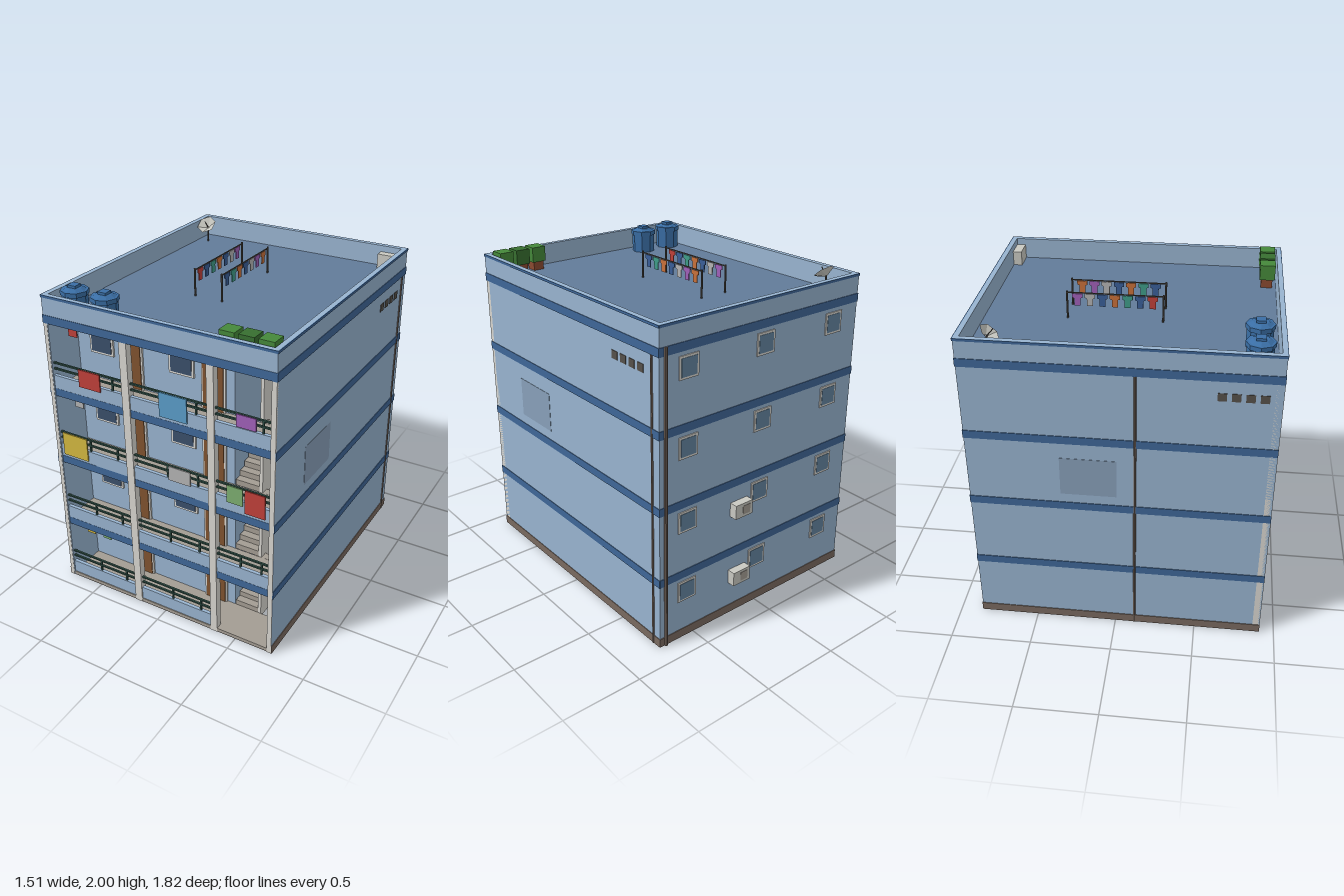
import * as THREE from 'three';

const C = {
  wall: 0x98b4d0, band: 0x3f6798, roof: 0x627b99, white: 0xd8d6d0, base: 0x7a6a60, grey: 0xa39c93,
  dark: 0x55504a, rail: 0x2c4a42, door: 0x80532f, glass: 0x3a4f6a, backGlass: 0x6384a0, patch: 0x88a0ba,
  tank: 0x3a6ea5, leaf: 0x45883a, leaf2: 0x376f30, pot: 0x8a4a30, unit: 0xc9c9c2,
  red: 0xc0403a, blue: 0x5a9cc8, purple: 0xa060b8, yellow: 0xd4b840, green: 0x7cae70, cloth: 0xb4b4b4,
};
const mats = {};
const mat = (c) => (mats[c] ??= new THREE.MeshStandardMaterial({ color: c, flatShading: true, side: THREE.DoubleSide }));

export function createModel() {
  const root = new THREE.Group();
  const add = (name, geo, color, parent = root) => {
    const m = new THREE.Mesh(geo, mat(color));
    m.name = name;
    parent.add(m);
    return m;
  };
  // box given by its extents
  const box = (name, color, x0, x1, y0, y1, z0, z1) => {
    const m = add(name, new THREE.BoxGeometry(x1 - x0, y1 - y0, z1 - z0), color);
    m.position.set((x0 + x1) / 2, (y0 + y1) / 2, (z0 + z1) / 2);
    return m;
  };
  const cyl = (name, color, r, x, y0, y1, z, n = 8, rt = r) => {
    const m = add(name, new THREE.CylinderGeometry(rt, r, y1 - y0, n), color);
    m.position.set(x, (y0 + y1) / 2, z);
    return m;
  };

  const X = 0.745, T = 0.03, ZB = -0.86, ZF = 0.91, ZG = 0.66, ROOF = 1.83, TOP = 1.96;
  const floors = [0.025, 0.46, 0.92, 1.38];
  const bays = [[-0.72, -0.225], [-0.175, 0.33], [0.375, 0.715]];

  // hollow shell, open underneath
  for (const s of [-1, 1]) {
    const a = s * X, b = s * (X - T);
    box('sideWall', C.wall, Math.min(a, b), Math.max(a, b), 0, TOP, ZB, ZF - 0.002);
  }
  box('backWall', C.wall, -X + T, X - T, 0, TOP, ZB, ZB + T);
  box('frontParapet', C.wall, -X + T, X - T, 1.79, TOP, ZF - T, ZF - 0.002);
  box('roofSlab', C.roof, -X + T, X - T, 1.79, ROOF, ZB + T, ZF - T);
  box('galleryWall', C.wall, -X + T, 0.34, 0, 1.79, ZG - 0.02, ZG);
  box('stairwellSideWall', C.wall, 0.34, 0.36, 0, 1.79, 0.25, ZG);
  box('stairwellBackWall', C.wall, 0.34, X - T, 0, 1.79, 0.25, 0.27);
  box('stairDivider', C.white, 0.52, 0.54, 0, 1.79, 0.37, ZG);

  // painted bands around the outside
  const ring = (name, color, y0, y1, front) => {
    for (const s of [-1, 1]) box(name, color, s * (X + 0.0015) - 0.0025, s * (X + 0.0015) + 0.0025, y0, y1, ZB - 0.003, ZF);
    box(name, color, -X, X, y0, y1, ZB - 0.004, ZB + 0.001);
    if (front) box(name, color, -X, X, y0, y1, ZF - 0.006, ZF + 0.001);
  };
  [0.41, 0.87, 1.33, 1.79].forEach((y, i) => ring('floorBand', C.band, y, y + 0.05, i === 3));
  ring('parapetRim', C.band, 1.945, TOP, true);
  ring('plinth', C.base, 0, 0.055, false);

  // galleries: slab, low wall, railing, doors and windows
  box('groundSlab', C.grey, -X + T, X - T, 0.004, 0.025, ZG, ZF - 0.003);
  box('groundSlabUnderside', C.dark, -X + T, X - T, 0, 0.004, ZG, ZF - 0.003);
  floors.forEach((y, i) => {
    if (i) {
      box('gallerySlab', C.grey, -X + T, X - T, y - 0.05, y - 0.001, ZG, ZF - 0.02);
      box('slabEdge', C.band, -X + T, X - T, y - 0.05, y, ZF - 0.025, ZF - 0.007);
    }
    bays.forEach(([a, b], k) => {
      if (!i && k === 2) return;
      box('lowWall', C.wall, a - 0.01, b + 0.01, y, y + 0.085, ZF - 0.03, ZF - 0.008);
      for (const h of [0.125, 0.162]) box('rail', C.rail, a, b, y + h - 0.005, y + h + 0.005, ZF - 0.025, ZF - 0.013);
      for (const f of [0.45, 0.85]) {
        const x = a + (b - a) * f;
        box('railPost', C.rail, x - 0.005, x + 0.005, y + 0.08, y + 0.165, ZF - 0.024, ZF - 0.014);
      }
    });
    for (const x of [-0.535, 0.018]) {
      box('windowFrame', C.white, x - 0.083, x + 0.083, y + 0.165, y + 0.35, ZG, ZG + 0.012);
      box('windowGlass', C.glass, x - 0.07, x + 0.07, y + 0.178, y + 0.337, ZG, ZG + 0.015);
      box('doorFrame', C.white, x + 0.132, x + 0.288, y, y + 0.365, ZG, ZG + 0.012);
      box('door', C.door, x + 0.144, x + 0.276, y, y + 0.353, ZG, ZG + 0.017);
    }
  });
  for (const [a, b] of [[-X, -0.72], [-0.225, -0.175], [0.33, 0.375], [0.715, X]])
    box('column', C.white, a, b, 0, 1.79, ZF - 0.045, ZF);

  // stairs: two flights per storey with a half landing at the back
  const flight = (x0, x1, za, ya, zb, yb, n = 6) => {
    const s = new THREE.Shape().moveTo(za, ya);
    const dz = (zb - za) / n, dy = (yb - ya) / n;
    for (let i = 0; i < n; i++) {
      s.lineTo(za + dz * i, ya + dy * (i + 1));
      s.lineTo(za + dz * (i + 1), ya + dy * (i + 1));
    }
    s.lineTo(zb, yb - 0.045).lineTo(za + dz * 0.6, ya - 0.01);
    const g = new THREE.ExtrudeGeometry(s, { depth: x1 - x0, bevelEnabled: false });
    add('stairFlight', g.rotateY(-Math.PI / 2).translate(x1, 0, 0), C.grey);
    return g;
  };
  for (let i = 0; i < 3; i++) {
    const y = floors[i], y2 = floors[i + 1], m = (y + y2) / 2 - 0.01;
    flight(0.365, 0.52, ZG, y, 0.37, m);
    flight(0.54, 0.713, 0.37, m, ZG, y2);
    box('stairLanding', C.grey, 0.36, X - T, m - 0.03, m, 0.27, 0.37);
    // dark soffit below the upper flight
    const run = ZG - 0.37, rise = y2 - 0.045 - m;
    const p = add('flightSoffit', new THREE.BoxGeometry(0.172, 0.004, Math.hypot(run, rise)), C.dark);
    p.position.set(0.627, m + rise / 2 - 0.012, 0.37 + run / 2);
    p.rotation.x = -Math.atan2(rise, run);
  }

  // laundry over the railings
  for (const [c, a, b, y0, y1] of [
    [C.red, -0.525, -0.375, 1.44, 1.55], [C.blue, 0.025, 0.205, 1.4, 1.55], [C.purple, 0.51, 0.63, 1.475, 1.55],
    [C.yellow, -0.69, -0.51, 0.94, 1.09], [C.cloth, 0.07, 0.215, 1.0, 1.09], [C.green, 0.45, 0.55, 0.98, 1.09], [C.red, 0.565, 0.69, 0.94, 1.09],
  ]) box('laundry', c, a, b, y0, y1, ZF - 0.006, ZF + 0.002);

  // shirts: T-shaped outline, top centre at the origin
  const shirt = new THREE.Shape([[-0.05, 0], [0.05, 0], [0.05, -0.03], [0.03, -0.035], [0.03, -0.092], [-0.03, -0.092], [-0.03, -0.035], [-0.05, -0.03]]
    .map(([x, y]) => new THREE.Vector2(x, y)));
  const shirtGeo = new THREE.ExtrudeGeometry(shirt, { depth: 0.006, bevelEnabled: false }).translate(0, 0, -0.003);
  for (const [c, x, y] of [[C.red, -0.615, 1.79], [C.cloth, -0.615, 1.33], [C.yellow, -0.615, 0.41], [C.green, -0.49, 0.41]])
    add('hangingShirt', shirtGeo, c).position.set(x, y, 0.82);

  // vents, patches and drainpipes on the sides
  for (const s of [-1, 1]) {
    for (let i = 0; i < 4; i++) {
      const z = s > 0 ? -0.48 - i * 0.076 : 0.585 + i * 0.076;
      box('vent', C.dark, s * X - 0.003, s * X + 0.003, 1.67, 1.718, z - 0.025, z + 0.025);
    }
    const z = s > 0 ? 0.385 : -0.15;
    box('wallPatch', C.patch, s * X - 0.002, s * X + 0.002, 0.98, 1.23, z - 0.165, z + 0.165);
    cyl('drainpipe', C.base, 0.008, s * X, 0, 1.79, s > 0 ? -0.8 : 0.12);
  }
  cyl('backDrainpipe', C.base, 0.011, 0.705, 0, 1.84, -0.865);

  // back windows and cooling units
  for (let i = 0; i < 4; i++) for (const x of [-0.545, 0, 0.55]) {
    const y = 0.32 + i * 0.46;
    box('backWindowFrame', C.white, x - 0.066, x + 0.066, y - 0.066, y + 0.066, ZB - 0.006, ZB);
    box('backWindowGlass', C.backGlass, x - 0.053, x + 0.053, y - 0.053, y + 0.053, ZB - 0.008, ZB);
  }
  for (const y of [0.22, 0.68]) {
    box('coolingUnit', C.unit, 0.095, 0.225, y, y + 0.09, -0.91, ZB);
    box('coolingFan', C.grey, 0.115, 0.17, y + 0.017, y + 0.073, -0.912, -0.9);
  }
  box('roofCoolingUnit', C.unit, 0.58, 0.712, ROOF, 1.92, -0.83, -0.775);

  // roof tanks and planters
  for (const x of [-0.615, -0.405]) {
    cyl('waterTank', C.tank, 0.075, x, ROOF, 1.955, 0.77);
    cyl('tankRim', C.tank, 0.083, x, 1.945, 1.972, 0.77);
    cyl('tankTop', C.tank, 0.07, x, 1.972, 1.985, 0.77, 8, 0.045);
    box('tankLid', C.tank, x - 0.027, x + 0.027, 1.98, 2, 0.743, 0.797);
  }
  [0.43, 0.545, 0.66].forEach((x, i) => {
    box('planterPot', C.pot, x - 0.035, x + 0.035, ROOF, 1.89, 0.785, 0.855);
    box('planterShrub', i === 1 ? C.leaf2 : C.leaf, x - 0.046, x + 0.046, 1.885, 1.98, 0.775, 0.868);
  });

  // clotheslines
  const colors = [0x3a5f98, C.purple, 0xc8703a, C.red, C.cloth, 0x3f9c88, 0xc8703a, 0x3a5f98];
  [-0.165, 0.018].forEach((x, k) => {
    for (const z of [-0.34, 0.22]) cyl('linePost', C.dark, 0.006, x, ROOF, 2, z, 6);
    box('clothesline', C.dark, x - 0.003, x + 0.003, 1.988, 1.994, -0.34, 0.22);
    for (let i = 0; i < 7; i++) {
      const m = add('lineShirt', shirtGeo, colors[(i * 3 + k * 5 + 1) % 8]);
      m.position.set(x, 1.985, -0.28 + i * 0.073);
      m.rotation.y = Math.PI / 2;
      m.scale.set(0.6, 0.8, 0.8);
    }
  });

  // dish: shallow six-sided cone on a mast, tilted up to the front
  cyl('dishMast', C.dark, 0.006, -0.64, ROOF, 1.93, -0.7, 6);
  const dish = new THREE.Group();
  dish.name = 'dish';
  add('dishBowl', new THREE.CylinderGeometry(0.066, 0.012, 0.03, 6, 1, true), C.unit, dish);
  add('dishBase', new THREE.CircleGeometry(0.012, 6).rotateX(-Math.PI / 2).translate(0, -0.015, 0), C.unit, dish);
  add('dishArm', new THREE.CylinderGeometry(0.003, 0.003, 0.06, 5).translate(0, 0.015, 0), C.dark, dish);
  dish.position.set(-0.64, 1.94, -0.69);
  dish.rotation.x = 0.7;
  root.add(dish);

  return root;
}
